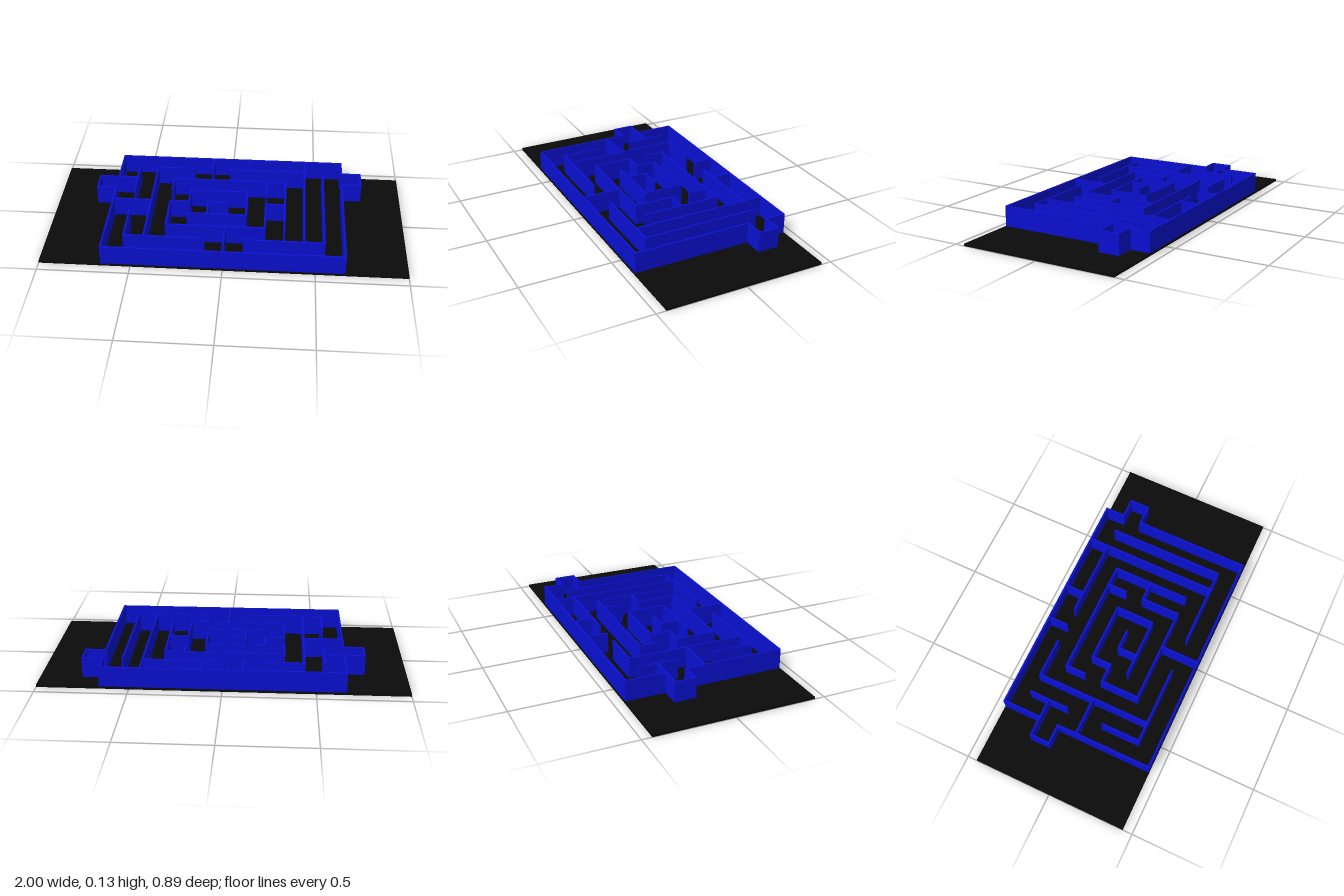
import * as THREE from 'three';

const CELL = 0.1092, THICK = 0.011, BASE = 0.0125, TOP = 0.1265;

// Wall runs as corner points [x, z] on the cell grid
const outerWalls = [
  [[-6, -1], [-6, 4], [6, 4], [6, -2], [7, -2], [7, -3], [6, -3], [6, -4], [-6, -4], [-6, -2]],
  [[-5, -2], [-7, -2], [-7, -1], [-6, -1]],
];
const middleWalls = [
  [[-5, -3], [-5, -1]],
  [[-2, -3], [-4, -3], [-4, 3]],
  [[-6, 0], [-4, 0]],
  [[-5, 1], [-5, 3], [-1, 3]],
  [[-1, -4], [-1, -3]],
  [[1, -4], [1, -3]],
  [[0, -3], [4, -3]],
  [[4, -4], [4, 3]],
  [[5, -3], [5, 3], [1, 3]],
  [[0, 2], [0, 4]],
];
const innerWalls = [
  [[-3, -1], [-3, -2], [3, -2], [3, 2]],
  [[2, -2], [2, -1]],
  [[3, 0], [2, 0], [2, 2], [-3, 2], [-3, 0], [-2, 0], [-2, -1], [1, -1], [1, 1], [-2, 1]],
  [[-1, 1], [-1, 0], [0, 0]],
];

export function createModel() {
  const model = new THREE.Group();
  const black = new THREE.MeshStandardMaterial({ color: 0x0a0a0a });
  const blue = new THREE.MeshStandardMaterial({ color: 0x0a10d0 });

  // Ground plate
  const plate = new THREE.Mesh(new THREE.BoxGeometry(2, BASE, 0.89), black);
  plate.name = 'basePlate';
  plate.position.y = BASE / 2;
  model.add(plate);

  // One box per straight stretch, long enough to fill its corners
  const addWalls = (name, runs) => {
    const group = new THREE.Group();
    group.name = name;
    for (const run of runs) {
      for (let i = 1; i < run.length; i++) {
        const [x0, z0] = run[i - 1], [x1, z1] = run[i];
        const wall = new THREE.Mesh(new THREE.BoxGeometry(
          Math.abs(x1 - x0) * CELL + THICK, TOP - BASE, Math.abs(z1 - z0) * CELL + THICK), blue);
        wall.name = 'wall';
        wall.position.set((x0 + x1) / 2 * CELL, (TOP + BASE) / 2, (z0 + z1) / 2 * CELL);
        group.add(wall);
      }
    }
    model.add(group);
  };
  addWalls('outerWalls', outerWalls);
  addWalls('middleWalls', middleWalls);
  addWalls('innerWalls', innerWalls);
  return model;
}
